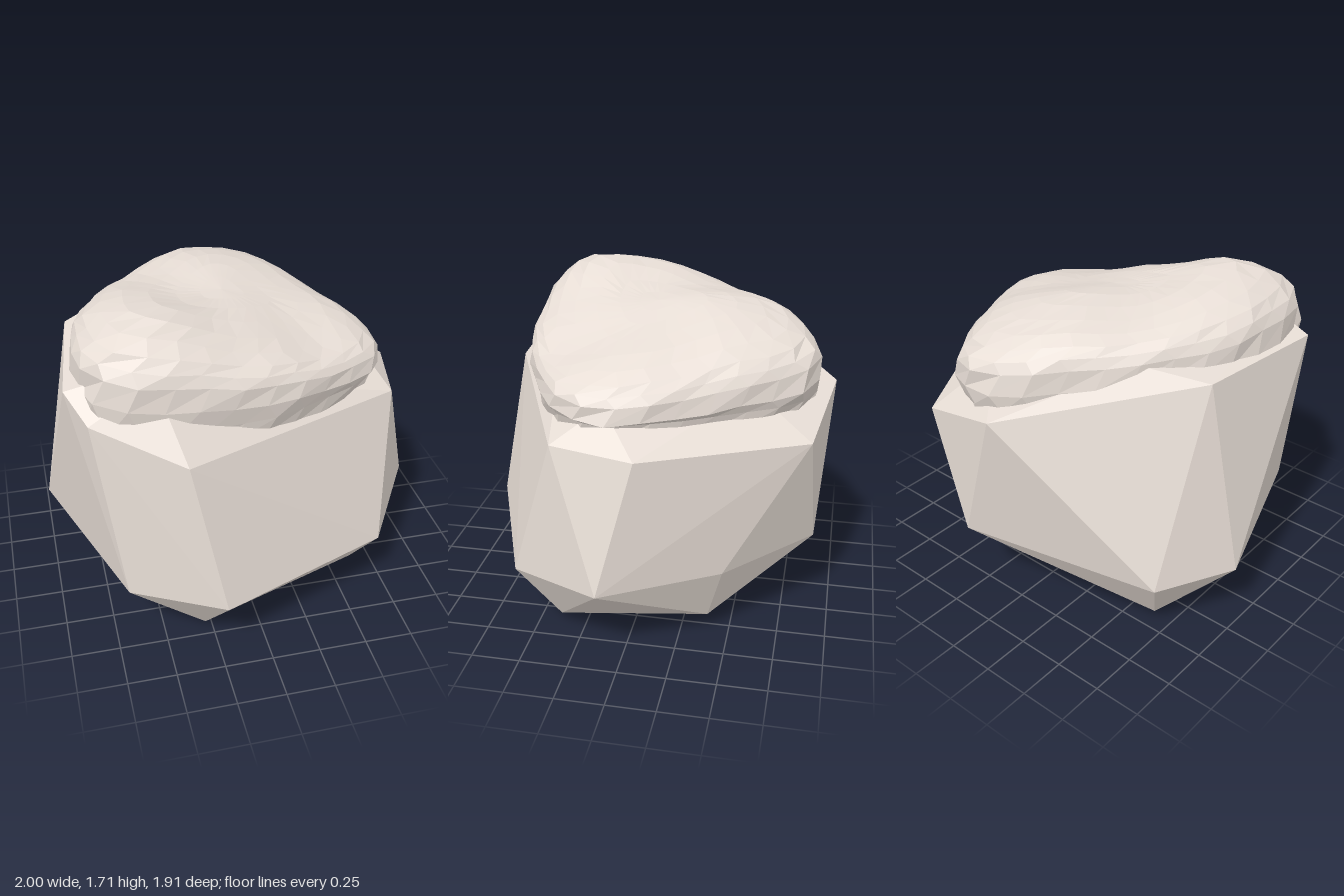
import * as THREE from 'three';
import { ConvexGeometry } from 'three/addons/geometries/ConvexGeometry.js';

const V = (x, y, z) => new THREE.Vector3(x, y, z);

// Faceted boulder: hull of rough rings, from the underside to the sloping shoulders
function boulderGeometry() {
  return new ConvexGeometry([
    // underside
    V(-0.28, 0, 0.66), V(0.62, 0.05, 0.38), V(0.56, 0.1, -0.39), V(-0.67, 0.06, -0.44),
    // widest ring
    V(-1, 0.37, -0.21), V(-0.68, 0.34, 0.72), V(-0.22, 0.33, 0.95), V(0.69, 0.34, 0.6),
    V(1, 0.42, 0.1), V(0.65, 0.41, -0.47), V(0.22, 0.44, -0.9), V(-0.79, 0.37, -0.61),
    // shoulders
    V(-0.9, 1.4, 0.47), V(-0.81, 1.29, 0.63), V(-0.38, 1.13, 0.84), V(0.79, 1.11, 0.36),
    V(0.89, 1.1, -0.07), V(0.45, 1.07, -0.87), V(-0.05, 1.22, -0.96), V(-0.82, 1.4, -0.25),
    // crown, mostly buried in the cap
    V(0.67, 1.28, 0.12), V(-0.49, 1.47, 0.59), V(-0.7, 1.46, 0.5), V(0.3, 1.28, -0.55), V(-0.5, 1.47, -0.43),
  ]);
}

// Height of the cap's upper surface: a tilted plane with soft swells and hollows
function capTop(x, z) {
  const bump = (px, pz, r) => Math.exp(-((x - px) ** 2 + (z - pz) ** 2) / (r * r));
  return 1.59 - 0.17 * x + 0.07 * bump(-0.52, 0.42, 0.35) + 0.055 * bump(0.1, -0.45, 0.4)
    - 0.03 * bump(-0.4, -0.2, 0.3) - 0.05 * bump(0.35, 0.4, 0.35);
}

// Worn cap: one footprint curve scaled into rings that follow a domed height rule
function capGeometry() {
  const outline = [
    [0.13, -0.89], [0.3, -0.82], [0.45, -0.62], [0.6, -0.35], [0.73, -0.1], [0.78, 0.12],
    [0.7, 0.34], [0.42, 0.52], [0.1, 0.65], [-0.25, 0.69], [-0.58, 0.69], [-0.78, 0.6],
    [-0.84, 0.38], [-0.83, 0.1], [-0.74, -0.15], [-0.55, -0.42], [-0.3, -0.68], [-0.1, -0.83],
  ].map(([x, z]) => V(x, 0, z));
  const curve = new THREE.CatmullRomCurve3(outline, true);
  const segs = 30, cx = -0.03, cz = -0.02, power = 3;
  // [scale, fixed height]: the first rings are the buried skirt, the rest form the dome
  const rings = [[0.9, 0.95], [0.945, 1.12], [0.975, 1.22], [1], [0.985], [0.95], [0.89], [0.79], [0.65], [0.48], [0.3], [0.14]];

  const domeHeight = (x, z, s) => {
    const base = 1.31 - 0.1 * x;
    const wobble = 0.012 * Math.sin(9 * x + 4 * z) * Math.sin(8 * z - 3 * x);
    return base + (capTop(x, z) - base) * Math.pow(1 - Math.pow(s, power), 1 / power) + wobble;
  };

  const pos = [], index = [];
  rings.forEach(([s, fixed], r) => {
    for (let i = 0; i < segs; i++) {
      const p = curve.getPointAt((i + (r % 2) * 0.3) / segs);
      const k = s * (1 + 0.008 * Math.sin(i * 2.3 + r * 1.7));
      const x = cx + (p.x - cx) * k, z = cz + (p.z - cz) * k;
      pos.push(x, fixed ?? domeHeight(x, z, s), z);
    }
  });
  pos.push(cx, domeHeight(cx, cz, 0), cz);
  const apex = rings.length * segs;
  for (let i = 0; i < segs; i++) {
    const j = (i + 1) % segs;
    for (let a = i, b = j; a + segs < apex; a += segs, b += segs) {
      index.push(a, a + segs, b, b, a + segs, b + segs);
    }
    index.push(apex - segs + i, apex, apex - segs + j);
  }
  const geo = new THREE.BufferGeometry();
  geo.setAttribute('position', new THREE.Float32BufferAttribute(pos, 3));
  geo.setIndex(index);
  // separate the faces so that each shows as a flat chipped plane
  const faceted = geo.toNonIndexed();
  faceted.computeVertexNormals();
  return faceted;
}

export function createModel() {
  const stone = new THREE.MeshStandardMaterial({ color: 0xece2da });
  stone.name = 'pale warm stone';

  const group = new THREE.Group();
  group.name = 'rock';
  const boulder = new THREE.Mesh(boulderGeometry(), stone);
  boulder.name = 'boulder';
  const cap = new THREE.Mesh(capGeometry(), stone);
  cap.name = 'wornCap';
  group.add(boulder, cap);
  return group;
}
